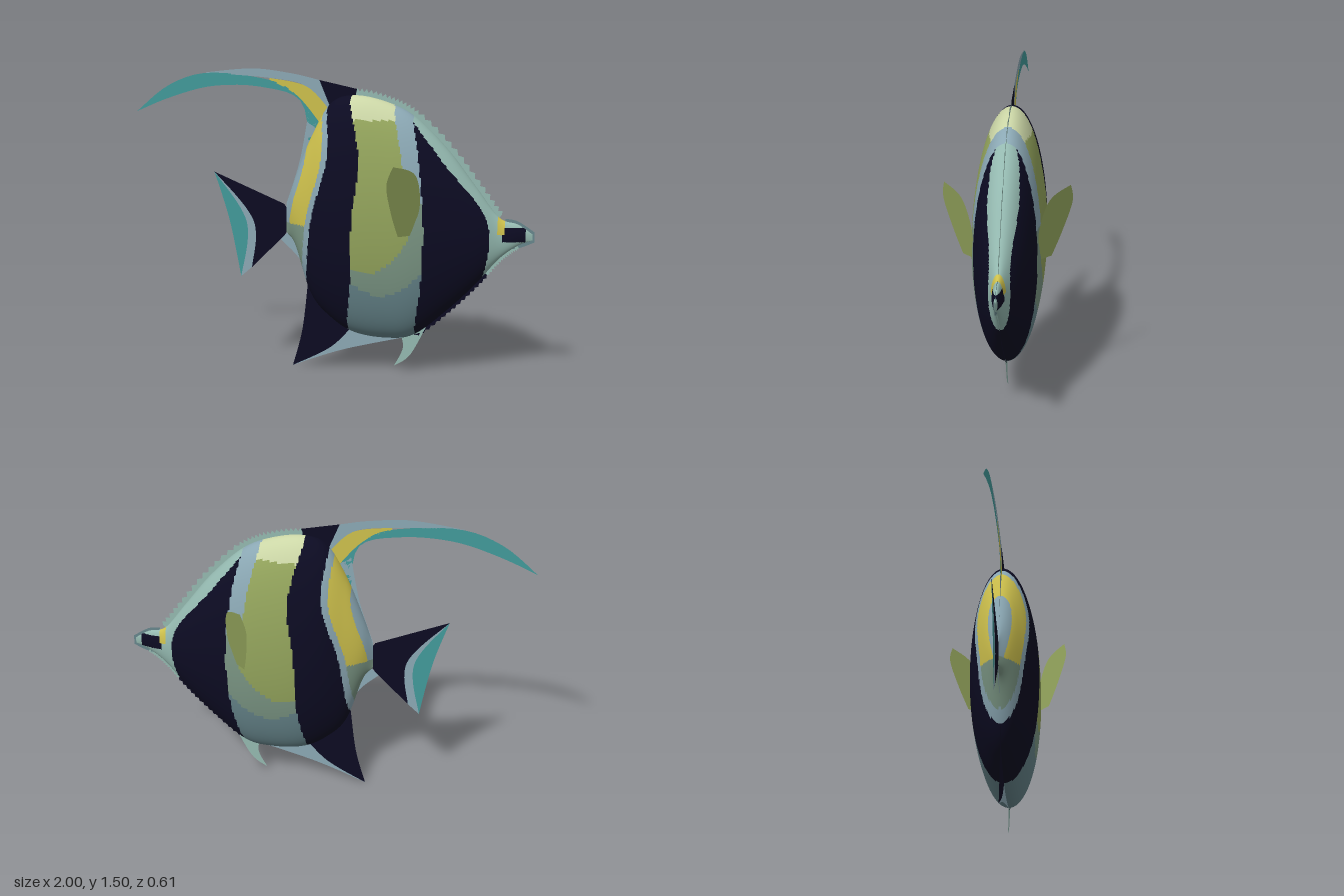
import * as THREE from 'three';

const COLORS = {
  navy: 0x0c0b22, yellow: 0xcdc04c, olive: 0x93a45c, cream: 0xcbd6a6, teal: 0x429a9a,
  paleBlue: 0x8ba8b4, slate: 0x67868c, sage: 0x7b9684, seafoam: 0x94b9b0,
};
const NAMES = Object.keys(COLORS);

// Body stations: x, top y, bottom y, half thickness
const STATIONS = [
  [-0.23, 0.83, 0.7, 0], [-0.18, 0.98, 0.63, 0.055], [-0.1, 1.18, 0.39, 0.105],
  [0, 1.35, 0.275, 0.152], [0.12, 1.39, 0.205, 0.175], [0.28, 1.36, 0.185, 0.175],
  [0.42, 1.29, 0.21, 0.162], [0.58, 1.135, 0.34, 0.125], [0.72, 0.955, 0.48, 0.08],
  [0.83, 0.815, 0.61, 0.033], [0.92, 0.785, 0.68, 0.018], [0.99, 0.74, 0.71, 0],
];
const curve3 = (f) => new THREE.CatmullRomCurve3(STATIONS.map(f), false, 'catmullrom');
const lengthCurve = curve3(([x]) => new THREE.Vector3(x, 0, 0));
const sizeCurve = curve3(([, top, bottom, w]) => new THREE.Vector3(top, bottom, w));

// Upright band edges: x at five even heights from y = 0.2 to 1.4
function bandEdge(...xs) {
  const spline = new THREE.SplineCurve(xs.map((x, i) => new THREE.Vector2(x, i)));
  return (y) => spline.getPoint(THREE.MathUtils.clamp((y - 0.2) / 1.2, 0, 1)).x;
}
const rearBandBack = bandEdge(-0.16, -0.115, -0.075, 0.005, -0.02);
const rearBandFront = bandEdge(0.09, 0.125, 0.135, 0.165, 0.1);
const frontBandBack = bandEdge(0.425, 0.47, 0.48, 0.45, 0.39);
const frontBandFront = bandEdge(0.62, 0.75, 0.775, 0.55, 0.34);

// Colour of the body at a side-on position
function paintAt(x, y) {
  const behind = x - rearBandBack(y);
  if (behind < 0) {
    if (y > 0.75 && behind > -0.125 && behind < -0.03) return 'yellow';
    return y > 0.75 || behind > -0.03 ? 'paleBlue' : 'sage';
  }
  if (x < rearBandFront(y)) return 'navy';
  const ahead = x - frontBandBack(y);
  if (ahead < 0) {
    if (ahead > -0.08 && y > 0.9) return 'paleBlue';
    if (y > 1.28) return 'cream';
    if (ahead < -0.07 && y > 0.54 + 4 * (x - 0.2) ** 2) return 'olive';
    return y > 0.43 + 3 * (x - 0.27) ** 2 ? 'sage' : 'slate';
  }
  if (x < frontBandFront(y)) return 'navy';
  if (Math.abs(x - 0.84) < 0.016 && y > 0.735) return 'yellow';
  return x > 0.85 && Math.abs(y - 0.735) < 0.035 && x < 0.96 ? 'navy' : 'seafoam';
}

// Elliptical sections lofted from tail root to snout, faces grouped by colour
function bodyGeometry() {
  const NX = 187, NT = 168, pos = [], faces = NAMES.map(() => []);
  for (let i = 0; i <= NX; i++) {
    const x = lengthCurve.getPoint(i / NX).x, d = sizeCurve.getPoint(i / NX);
    for (let j = 0; j < NT; j++) {
      const t = (j / NT) * Math.PI * 2;
      pos.push(x, (d.x + d.y) / 2 + ((d.x - d.y) / 2) * Math.sin(t), Math.max(d.z, 0) * Math.cos(t));
    }
  }
  for (let i = 0; i < NX; i++) {
    for (let j = 0; j < NT; j++) {
      const a = i * NT + j, b = a + NT, d = i * NT + ((j + 1) % NT), c = d + NT;
      const color = paintAt((pos[a * 3] + pos[c * 3]) / 2, (pos[a * 3 + 1] + pos[c * 3 + 1]) / 2);
      faces[NAMES.indexOf(color)].push(a, b, c, a, c, d);
    }
  }
  const g = new THREE.BufferGeometry();
  g.setAttribute('position', new THREE.Float32BufferAttribute(pos, 3));
  g.setIndex(faces.flat());
  let start = 0;
  faces.forEach((f, m) => {
    g.addGroup(start, f.length, m);
    start += f.length;
  });
  g.computeVertexNormals();
  return g;
}

// Flat sheet stretched between two edge functions of t, 0 to 1
function sheet(edgeA, edgeB, steps) {
  const g = new THREE.PlaneGeometry(1, 1, steps, 1), p = g.attributes.position;
  for (let i = 0; i <= steps; i++) {
    const a = edgeA(i / steps, i), b = edgeB(i / steps, i);
    p.setXYZ(i, a.x, a.y, 0);
    p.setXYZ(i + steps + 1, b.x, b.y, 0);
  }
  return g;
}

// Smooth edge through a few points
function through(points) {
  const spline = new THREE.SplineCurve(points.map(([x, y]) => new THREE.Vector2(x, y)));
  return (t) => spline.getPoint(t);
}

// Body outline from station a to station b, pushed outwards; side 1 is the back, -1 the belly
function outline(a, b, side, offset) {
  const at = (u) => {
    const d = sizeCurve.getPoint(u);
    return new THREE.Vector2(lengthCurve.getPoint(u).x, side > 0 ? d.x : d.y);
  };
  return (t, i) => {
    const u = (a + (b - a) * t) / (STATIONS.length - 1), p = at(u);
    const along = at(u + 0.005).sub(at(u - 0.005)).normalize();
    return p.add(new THREE.Vector2(-along.y, along.x).multiplyScalar(side * offset(i)));
  };
}

export function createModel() {
  const model = new THREE.Group();
  const mats = {};
  for (const n of NAMES) {
    mats[n] = new THREE.MeshStandardMaterial({ color: COLORS[n], side: THREE.DoubleSide });
    mats[n].name = n;
  }
  const add = (name, geometry, material) => {
    const mesh = new THREE.Mesh(geometry, material);
    mesh.name = name;
    model.add(mesh);
  };
  const fin = (name, color, a, b) => add(name, sheet(through(a), through(b), 24), mats[color]);

  add('body', bodyGeometry(), NAMES.map((n) => mats[n]));

  // Ragged ridges along the back, forehead, chin and throat
  const ridge = (name, color, a, b, side, size) => add(name, sheet(
    outline(a, b, side, (i) => size * (i % 2 ? 1 : 0.5)), outline(a, b, side, () => -0.03), 30), mats[color]);
  ridge('backRidge', 'seafoam', 4, 6, 1, 0.035);
  ridge('foreheadRidge', 'seafoam', 6, 9, 1, 0.035);
  ridge('chinRidge', 'navy', 6, 8.4, -1, 0.02);
  ridge('throatRidge', 'seafoam', 8.4, 10, -1, 0.02);
  fin('mouth', 'slate', [[0.86, 0.81], [0.92, 0.8], [1, 0.75]], [[0.86, 0.66], [0.93, 0.67], [1, 0.7]]);

  // Dorsal fin with its long trailing streamer
  const yellowTop = [[-0.31, 1.465], [-0.12, 1.425], [0.01, 1.29]];
  const yellowBase = [[-0.31, 1.455], [-0.17, 1.38], [-0.05, 1.24]];
  fin('streamer', 'teal',
    [[-1, 1.285], [-0.83, 1.42], [-0.62, 1.485], ...yellowBase],
    [[-1, 1.285], [-0.82, 1.36], [-0.6, 1.42], [-0.35, 1.42], [-0.15, 1.35], [-0.115, 1.1]]);
  fin('streamerEdge', 'paleBlue',
    [[-0.65, 1.485], [-0.4, 1.51], [-0.2, 1.49], [-0.06, 1.46]], [[-0.65, 1.485], ...yellowTop]);
  fin('dorsalYellow', 'yellow', yellowTop, yellowBase);
  fin('dorsalNavy', 'navy', [[-0.06, 1.46], [0.13, 1.42]], [[0.01, 1.29], [0.12, 1.36]]);
  fin('dorsalBackEdge', 'paleBlue',
    [[-0.115, 1.3], [-0.16, 1.06], [-0.23, 0.84]], [[-0.05, 1.25], [-0.1, 1.05], [-0.18, 0.84]]);

  // Tail fin in three curved bands
  const tailLines = [
    [[-0.24, 0.84], [-0.2, 0.76], [-0.24, 0.68]], [[-0.6, 0.99], [-0.4, 0.75], [-0.41, 0.51]],
    [[-0.6, 0.99], [-0.435, 0.74], [-0.467, 0.46]], [[-0.6, 0.99], [-0.525, 0.75], [-0.467, 0.46]],
  ];
  ['navy', 'paleBlue', 'teal'].forEach((c, i) => fin(`tailBand${i + 1}`, c, tailLines[i], tailLines[i + 1]));
  fin('tailRootWeb', 'paleBlue',
    [[-0.26, 0.66], [-0.16, 0.56], [-0.12, 0.45]], [[-0.2, 0.72], [-0.12, 0.65], [-0.08, 0.45]]);

  // Anal and pelvic fins
  const analMiddle = [[-0.2, 0.01], [0, 0.12], [0.13, 0.26]];
  fin('analFin', 'navy', [[-0.2, 0.01], [-0.15, 0.2], [-0.12, 0.45]], analMiddle);
  fin('analFinEdge', 'paleBlue', analMiddle, [[-0.2, 0.01], [0.05, 0.105], [0.37, 0.19]]);
  fin('pelvicFin', 'seafoam', [[0.32, 0.04], [0.365, 0.14], [0.34, 0.24]], [[0.32, 0.04], [0.4, 0.1], [0.48, 0.25]]);

  // Pectoral fins, slanting out and back from the flanks
  for (const side of [1, -1]) {
    const g = sheet(through([[0.36, 1.09], [0.33, 1], [0.345, 0.86], [0.37, 0.74]]),
      through([[0.36, 1.09], [0.45, 1.04], [0.465, 0.88], [0.42, 0.74]]), 24);
    const p = g.attributes.position;
    for (let i = 0; i < p.count; i++) {
      p.setZ(i, side * (0.18 - 0.91 * (p.getX(i) - 0.4) + 0.22 * (p.getY(i) - 0.73)));
    }
    g.computeVertexNormals();
    add(side > 0 ? 'frontPectoralFin' : 'rearPectoralFin', g, mats.olive);
  }
  return model;
}
